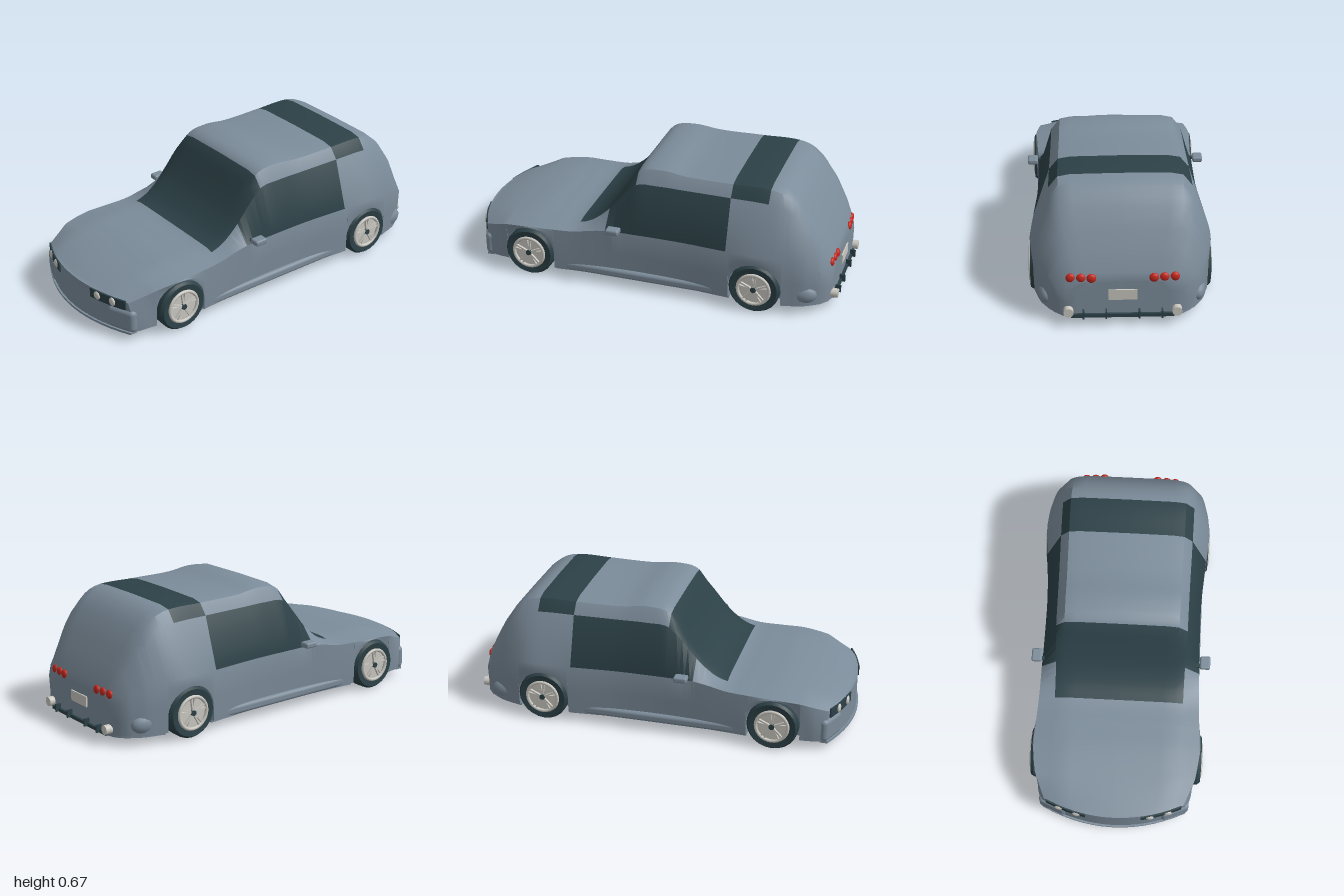
import * as THREE from 'three';
import { toCreasedNormals } from 'three/addons/utils/BufferGeometryUtils.js';
import { RoundedBoxGeometry } from 'three/addons/geometries/RoundedBoxGeometry.js';

const mat = (name, color) => Object.assign(new THREE.MeshStandardMaterial({ color }), { name });

// Body stations: z, roof height, window-top y and x, belt y and x, sill x
const STATIONS = [
  [-0.97, 0.235, 0.23, 0.22, 0.18, 0.27, 0.26],
  [-0.955, 0.275, 0.262, 0.26, 0.2, 0.32, 0.31],
  [-0.9, 0.385, 0.365, 0.3, 0.26, 0.37, 0.365],
  [-0.84, 0.49, 0.455, 0.33, 0.3, 0.405, 0.4],
  [-0.77, 0.585, 0.53, 0.345, 0.315, 0.425, 0.42],
  [-0.7, 0.635, 0.567, 0.35, 0.32, 0.44, 0.44],
  [-0.64, 0.65, 0.577, 0.352, 0.32, 0.445, 0.447],
  [-0.445, 0.65, 0.58, 0.35, 0.32, 0.435, 0.435],
  [-0.2, 0.651, 0.58, 0.345, 0.32, 0.418, 0.415],
  [-0.05, 0.668, 0.58, 0.343, 0.32, 0.416, 0.41],
  [0.06, 0.635, 0.568, 0.342, 0.32, 0.417, 0.41],
  [0.13, 0.525, 0.5, 0.342, 0.32, 0.418, 0.412],
  [0.205, 0.42, 0.41, 0.34, 0.318, 0.42, 0.415],
  [0.29, 0.345, 0.335, 0.34, 0.305, 0.422, 0.42],
  [0.37, 0.312, 0.302, 0.34, 0.288, 0.425, 0.425],
  [0.5, 0.307, 0.298, 0.34, 0.282, 0.432, 0.435],
  [0.63, 0.305, 0.293, 0.34, 0.279, 0.437, 0.437],
  [0.765, 0.285, 0.275, 0.335, 0.263, 0.42, 0.41],
  [0.9, 0.255, 0.245, 0.33, 0.235, 0.39, 0.4],
  [0.985, 0.228, 0.225, 0.3, 0.215, 0.365, 0.385],
];
const AXLES = [-0.6, 0.625], AXLE_Y = 0.133, ARCH_R = 0.137, BEND = 0.65;
const bend = (x, z) => z - BEND * x * x * THREE.MathUtils.clamp((z - 0.77) / 0.215, 0, 1);

const shape = new THREE.CubicInterpolant(
  STATIONS.map(s => s[0]), STATIONS.flatMap(s => s.slice(1)), 6, new Float32Array(6));

// Half cross-section from floor centre to roof centre, notched at a wheel arch
function halfSection(z, axle) {
  const [yT, yG, xG, yB, xB, xS] = shape.evaluate(z);
  const inArch = axle !== undefined;
  const wi = inArch ? 0.34 : xS - 0.02;
  const lo = inArch ? AXLE_Y + Math.sqrt(Math.max(0, ARCH_R ** 2 - (z - axle) ** 2)) : 0.055;
  const d = yT - yG, xR = xG - 0.045;
  return [[0, 0.04], [wi / 2, 0.04], [wi, 0.04], [wi, lo], [xS, lo], [xS + 0.003, (lo + yB) / 2],
    [xB, yB], [xG, yG], [xR, yT - 0.2 * d], [xR * 0.8, yT - 0.04 * d], [0, yT]];
}

function bodyGeometry() {
  // Exact stations for window edges and arches, filled in evenly
  const fixed = STATIONS.map(s => s[0]);
  for (const a of AXLES)
    for (let k = 0; k <= 12; k++) fixed.push(a + ARCH_R * Math.cos(k * Math.PI / 12));
  const zs = [...fixed];
  for (let z = -0.95; z < 0.98; z += 0.03)
    if (fixed.every(f => Math.abs(f - z) > 0.012)) zs.push(z);
  zs.sort((a, b) => a - b);

  const sections = [];
  for (const z of zs) {
    const axle = AXLES.find(a => Math.abs(z - a) <= ARCH_R + 1e-6);
    const outside = { z, half: halfSection(z) };
    const inside = axle !== undefined && { z, half: halfSection(z, axle) };
    if (!inside) sections.push(outside);
    else if (Math.abs(Math.abs(z - axle) - ARCH_R) > 1e-6) sections.push(inside);
    else sections.push(...(z < axle ? [outside, inside] : [inside, outside]));
  }

  const tris = [[], []]; // paint, glass
  const quad = (m, a, b, c, d) => tris[m].push(...a, ...b, ...c, ...a, ...c, ...d);
  const ring = ({ z, half }) => [...half, ...half.slice(1, -1).reverse().map(([x, y]) => [-x, y])]
    .map(([x, y]) => [x, y, bend(x, z)]);

  for (let i = 0; i < sections.length - 1; i++) {
    const p = ring(sections[i]), q = ring(sections[i + 1]);
    const z = (sections[i].z + sections[i + 1].z) / 2;
    for (let j = 0; j < 20; j++) {
      const band = j < 10 ? j : 19 - j, k = (j + 1) % 20;
      const sideGlass = band === 6 && z > -0.445 && z < 0.205;
      const topGlass = band > 6 && ((z > 0.06 && z < 0.37) || (z > -0.64 && z < -0.445));
      quad(sideGlass || topGlass ? 1 : 0, p[j], p[k], q[k], q[j]);
    }
  }
  // Curved nose and flat tail
  for (const [s, front] of [[sections[0], false], [sections.at(-1), true]]) {
    const at = (j, u) => {
      const x = s.half[j][0] * u;
      return [x, s.half[j][1], bend(x, s.z)];
    };
    for (let j = 0; j < 10; j++)
      for (let c = -6; c < 6; c++) {
        const a = at(j, c / 6), b = at(j, (c + 1) / 6), e = at(j + 1, (c + 1) / 6), f = at(j + 1, c / 6);
        if (front) quad(0, a, b, e, f); else quad(0, b, a, f, e);
      }
  }
  const geo = new THREE.BufferGeometry();
  geo.setAttribute('position', new THREE.Float32BufferAttribute([...tris[0], ...tris[1]], 3));
  geo.addGroup(0, tris[0].length / 3, 0);
  geo.addGroup(tris[0].length / 3, tris[1].length / 3, 1);
  return toCreasedNormals(geo, 0.65);
}

// Box following the curve of the nose
function noseBox(w, h, d, x, y, z) {
  const g = new THREE.BoxGeometry(w, h, d, 14, 1, 1).translate(x, y, z);
  const p = g.attributes.position;
  for (let i = 0; i < p.count; i++) p.setZ(i, p.getZ(i) - BEND * p.getX(i) ** 2);
  g.computeVertexNormals();
  return g;
}

export function createModel() {
  const car = new THREE.Group();
  car.name = 'car';
  const paint = mat('blueGreyPaint', 0x7c8c9a);
  const dark = mat('darkGlassAndRubber', 0x2c4147);
  const silver = mat('paleSilver', 0xc9c7c0);
  const red = mat('lampRed', 0xc4281e);
  const add = (name, geo, material, x = 0, y = 0, z = 0, parent = car) => {
    const m = new THREE.Mesh(geo, material);
    m.name = name;
    m.position.set(x, y, z);
    parent.add(m);
    return m;
  };

  add('bodyShell', bodyGeometry(), [paint, dark]);
  add('frontLip', noseBox(0.76, 0.012, 0.04, 0, 0.044, 0.975), paint);

  // Wheels
  const tyreProfile = [[0.088, -0.04], [0.122, -0.045], [0.133, -0.03], [0.133, 0.03], [0.122, 0.045], [0.088, 0.04]]
    .map(p => new THREE.Vector2(...p));
  const tyreGeo = toCreasedNormals(new THREE.LatheGeometry(tyreProfile, 24).rotateZ(-Math.PI / 2), 0.6);
  const discGeo = new THREE.CylinderGeometry(0.09, 0.09, 0.05, 24).rotateZ(Math.PI / 2);
  const ringGeo = new THREE.TorusGeometry(0.083, 0.009, 8, 28).rotateY(Math.PI / 2);
  const hubGeo = new THREE.CylinderGeometry(0.015, 0.015, 0.014, 12).rotateZ(Math.PI / 2);
  const spokeGeo = new THREE.BoxGeometry(0.012, 0.07, 0.009).translate(0, 0.045, 0);
  for (const s of [-1, 1])
    for (const z of AXLES) {
      const wheel = new THREE.Group();
      wheel.name = z > 0 ? 'frontWheel' : 'rearWheel';
      wheel.position.set(s * 0.405, AXLE_Y, z);
      car.add(wheel);
      add('tyre', tyreGeo, dark, 0, 0, 0, wheel);
      add('rimDisc', discGeo, silver, 0, 0, 0, wheel);
      add('rimRing', ringGeo, silver, s * 0.044, 0, 0, wheel);
      add('hub', hubGeo, dark, s * 0.046, 0, 0, wheel);
      for (let k = 0; k < 5; k++)
        for (const o of [-0.13, 0.13])
          add('spoke', spokeGeo, silver, s * 0.043, 0, 0, wheel).rotation.x = k * Math.PI * 0.4 + o;
    }

  // Mirrored fittings
  const lampGeo = new THREE.SphereGeometry(0.024, 16, 12);
  const bulgeGeo = new THREE.SphereGeometry(1, 16, 12).scale(0.045, 0.055, 0.08);
  const skirtGeo = new RoundedBoxGeometry(0.04, 0.05, 0.9, 3, 0.018);
  const mirrorGeo = new RoundedBoxGeometry(0.055, 0.03, 0.07, 3, 0.01);
  const pipeGeo = new THREE.CylinderGeometry(0.024, 0.024, 0.08, 16).rotateX(Math.PI / 2);
  const cornerGeo = new RoundedBoxGeometry(0.16, 0.125, 0.06, 4, 0.025);
  for (const s of [-1, 1]) {
    add('headlightPanel', noseBox(0.21, 0.05, 0.009, s * 0.25, 0.2, 0.988), dark);
    for (const x of [0.19, 0.283])
      add('headlight', lampGeo, silver, s * x, 0.2, 0.99 - BEND * x * x).scale.z = 0.45;
    add('bumperCorner', cornerGeo, paint, s * 0.318, 0.11, 0.897).rotation.y = s * 0.39;
    add('sideSkirt', skirtGeo, paint, s * 0.41, 0.075, 0.01);
    add('mirror', mirrorGeo, paint, s * 0.448, 0.341, 0.15);
    add('mirrorArm', new THREE.BoxGeometry(0.04, 0.012, 0.02), dark, s * 0.42, 0.335, 0.165);
    add('rearBumperCorner', bulgeGeo, paint, s * 0.365, 0.11, -0.83);
    for (const x of [0.15, 0.2, 0.25])
      add('tailLight', lampGeo, red, s * x, 0.25, -0.962 + (x - 0.15) * 0.08).scale.z = 0.6;
    add('exhaust', pipeGeo, silver, s * 0.262, 0.08, -0.96);
    for (const x of [0.08, 0.19])
      add('diffuserFin', new THREE.BoxGeometry(0.008, 0.04, 0.04), dark, s * x, 0.065, -0.98);
  }

  // Tail details
  add('diffuserBar', new THREE.BoxGeometry(0.5, 0.018, 0.03), dark, 0, 0.052, -0.968);
  add('numberPlate', new THREE.BoxGeometry(0.14, 0.055, 0.009), silver, 0, 0.165, -0.973);
  return car;
}
